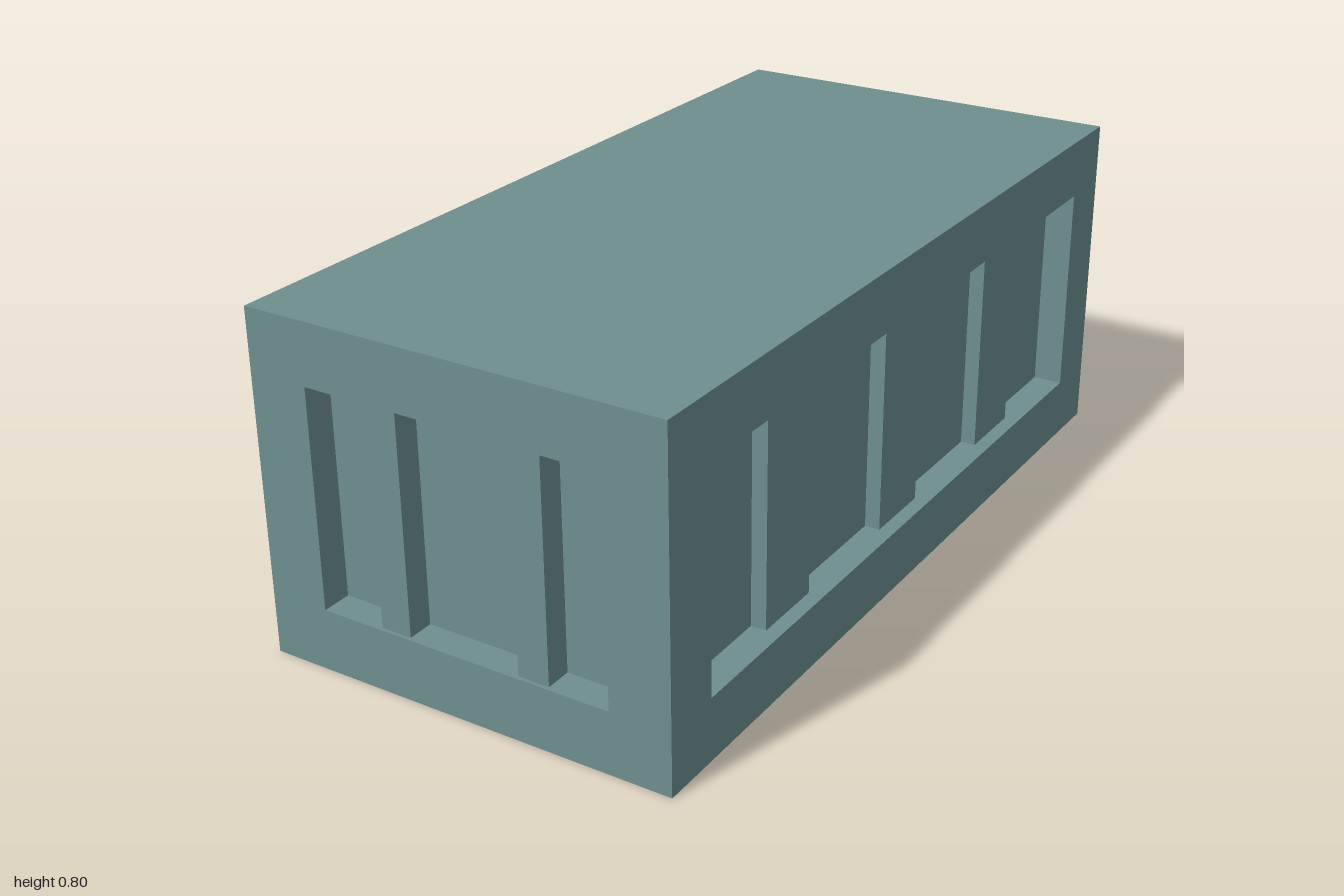
import * as THREE from 'three';

const HEIGHT = 0.8, LENGTH = 2, WIDTH = 1;
const DEPTH = 0.071;              // recess depth
const LOW = 0.146, HIGH = 0.657;  // recess bottom and top

// Upright panel with a rectangular opening, its outer face at local z = DEPTH
function framePanel(width, openingHalf) {
  const w = width / 2;
  const shape = new THREE.Shape([[-w, 0], [w, 0], [w, HEIGHT], [-w, HEIGHT]]
    .map(([x, y]) => new THREE.Vector2(x, y)));
  shape.holes.push(new THREE.Path([[-openingHalf, LOW], [-openingHalf, HIGH], [openingHalf, HIGH], [openingHalf, LOW]]
    .map(([x, y]) => new THREE.Vector2(x, y))));
  return new THREE.ExtrudeGeometry(shape, { depth: DEPTH, bevelEnabled: false });
}

// Vertical rib from x0 to x1, with an optional sloped right flank
function rib(x0, x1, depth, flank = 0) {
  const shape = new THREE.Shape([[x0, 0], [x1 + flank, 0], [x1, -depth], [x0, -depth]]
    .map(([x, y]) => new THREE.Vector2(x, y)));
  const geometry = new THREE.ExtrudeGeometry(shape, { depth: HIGH - LOW, bevelEnabled: false });
  return geometry.rotateX(-Math.PI / 2).scale(1, 1, 1).translate(0, LOW, 0);
}

export function createModel() {
  const model = new THREE.Group();
  model.name = 'ribbedBlock';
  const teal = new THREE.MeshStandardMaterial({ color: 0x6e8e8f });
  teal.name = 'dusty teal';

  const add = (parent, name, geometry) => {
    const mesh = new THREE.Mesh(geometry, teal);
    mesh.name = name;
    parent.add(mesh);
  };

  // Solid core whose walls are the recessed panels
  const coreWidth = WIDTH - 2 * DEPTH, coreLength = LENGTH - 2 * DEPTH;
  add(model, 'core', new THREE.BoxGeometry(coreWidth, HEIGHT, coreLength).translate(0, HEIGHT / 2, 0));

  // Each end and side is repeated by a half turn
  for (const [turn, endName, sideName] of [[0, 'frontEnd', 'leftSide'], [Math.PI, 'backEnd', 'rightSide']]) {
    const end = new THREE.Group();
    end.name = endName;
    end.rotation.y = turn;
    end.position.z = Math.cos(turn) * coreLength / 2;
    add(end, 'endFrame', framePanel(WIDTH, 0.357));
    for (const x of [-0.173, 0.173]) add(end, 'endRib', rib(x - 0.037, x + 0.037, 0.062));
    model.add(end);

    const side = new THREE.Group();
    side.name = sideName;
    side.rotation.y = turn + Math.PI / 2;
    side.position.x = Math.cos(turn) * coreWidth / 2;
    add(side, 'sideFrame', framePanel(coreLength, 0.857));
    for (const [x, flank] of [[-0.5, 0.025], [0, 0.025], [0.5, 0]]) {
      add(side, 'sideRib', rib(x - 0.09, x + 0.088, 0.036, flank));
    }
    model.add(side);
  }
  return model;
}
